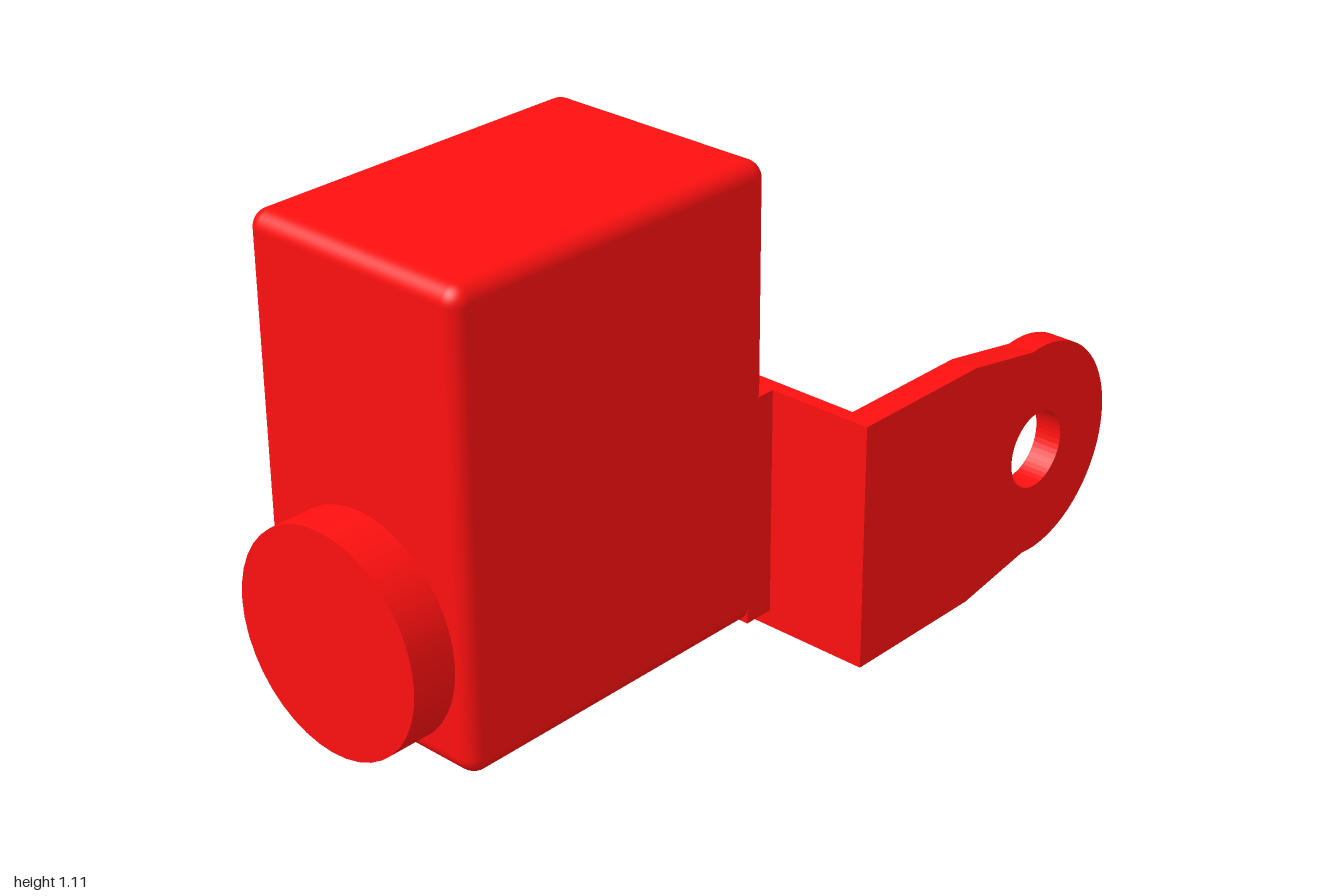
import * as THREE from 'three';
import { RoundedBoxGeometry } from 'three/addons/geometries/RoundedBoxGeometry.js';

export function createModel() {
  const model = new THREE.Group();
  model.name = 'bracketMount';
  const red = new THREE.MeshStandardMaterial({ color: 0xff1010 });
  const centreX = -0.094; // symmetry plane of the turned assembly
  const axisY = 0.29;     // height of the pivot and the round boss

  const add = (name, geometry, x, y, z) => {
    const mesh = new THREE.Mesh(geometry, red);
    mesh.name = name;
    mesh.position.set(x, y, z);
    model.add(mesh);
    return mesh;
  };

  // Tall housing with softened edges
  add('housing', new RoundedBoxGeometry(0.595, 1.07, 0.879, 5, 0.04), centreX, 0.575, 0.4335);

  // Thin spacer between housing and bracket
  add('spacer', new THREE.BoxGeometry(0.595, 0.54, 0.08), centreX, 0.31, 0.01);

  // Round boss on the front
  const boss = new THREE.CylinderGeometry(0.256, 0.256, 0.16, 40).rotateX(Math.PI / 2);
  add('frontBoss', boss, centreX, axisY, 0.902);

  // Bracket back plate, between the two arms
  add('bracketPlate', new THREE.BoxGeometry(0.974, 0.58, 0.034), centreX, 0.29, -0.042);

  // Arm outline: square root, slight taper, round end with a pivot hole
  const outline = new THREE.Shape();
  outline.moveTo(0.025, 0);
  outline.lineTo(0.397, 0);
  outline.absarc(0.637, axisY, 0.255, -Math.PI / 2 - 0.13, Math.PI / 2 + 0.13, false);
  outline.lineTo(0.397, 0.58);
  outline.lineTo(0.025, 0.58);
  outline.closePath();
  const hole = new THREE.Path();
  hole.absarc(0.637, axisY, 0.092, 0, Math.PI * 2, true);
  outline.holes.push(hole);

  const thickness = 0.066;
  const arm = new THREE.ExtrudeGeometry(outline, { depth: thickness, bevelEnabled: false, curveSegments: 24 });
  arm.translate(0, 0, -thickness / 2).rotateY(Math.PI / 2);
  for (const [name, side] of [['leftArm', 1], ['rightArm', -1]]) {
    add(name, arm, centreX + side * (0.553 - thickness / 2), 0, 0);
  }

  // The whole assembly is turned slightly about the vertical
  model.rotation.y = -THREE.MathUtils.degToRad(11.25);
  const root = new THREE.Group();
  root.add(model);
  return root;
}
